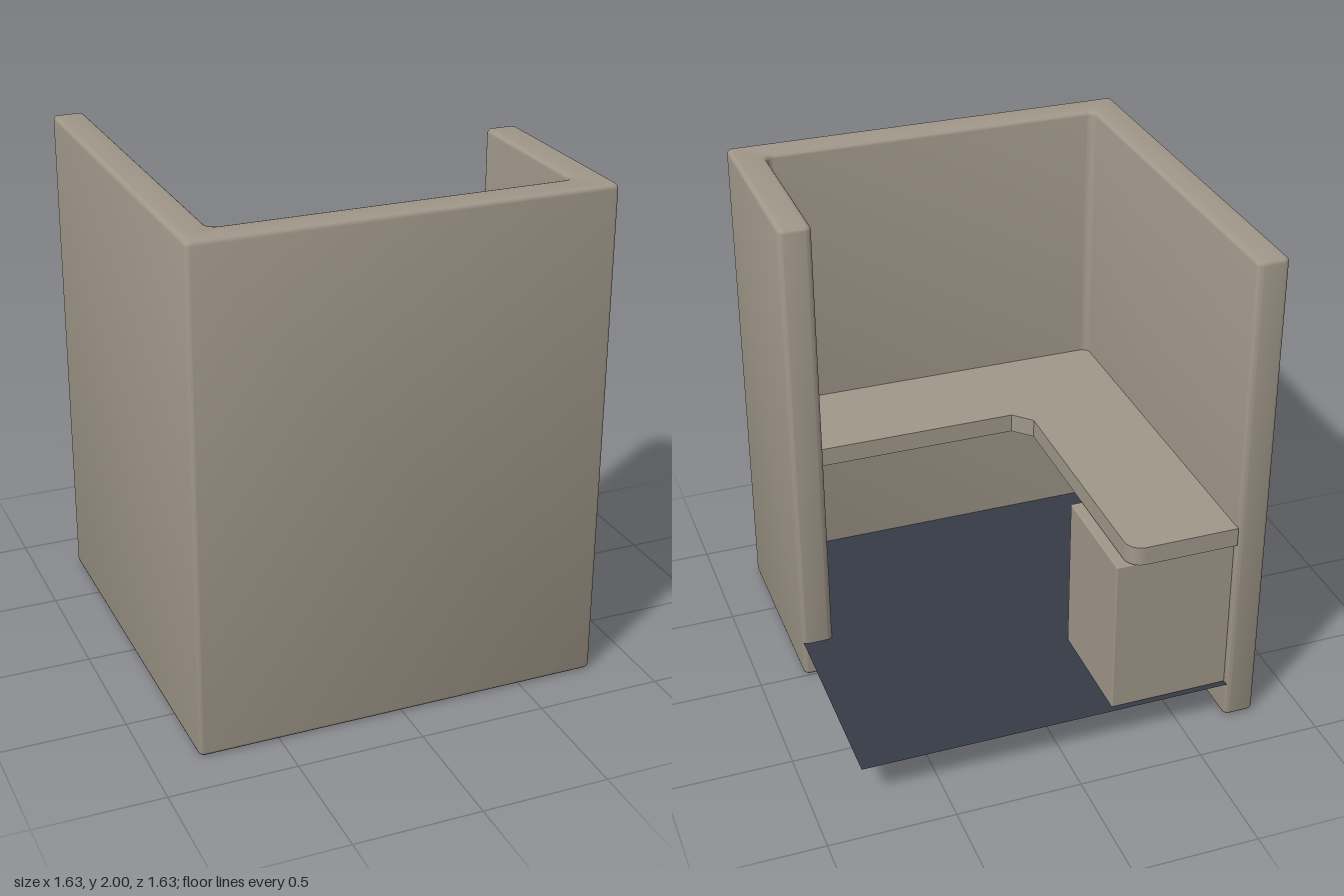
import * as THREE from 'three';
import { toCreasedNormals } from 'three/addons/utils/BufferGeometryUtils.js';
import { RoundedBoxGeometry } from 'three/addons/geometries/RoundedBoxGeometry.js';

// Plan outline from [x, z, cornerRadius] points, each corner rounded by an arc
function plan(corners) {
  const shape = new THREE.Shape();
  const n = corners.length;
  corners.forEach(([x, z, r = 0], i) => {
    const p = new THREE.Vector2(x, z);
    const toward = (c) => new THREE.Vector2(c[0], c[1]).sub(p).normalize().multiplyScalar(r).add(p);
    const a = toward(corners[(i + n - 1) % n]);
    const b = toward(corners[(i + 1) % n]);
    if (i === 0) shape.moveTo(a.x, a.y);
    else shape.lineTo(a.x, a.y);
    if (r > 0) {
      // centre of a right-angled fillet
      const c = a.clone().add(b).sub(p);
      const a0 = Math.atan2(a.y - c.y, a.x - c.x);
      const a1 = Math.atan2(b.y - c.y, b.x - c.x);
      const turn = Math.atan2(Math.sin(a1 - a0), Math.cos(a1 - a0));
      shape.absarc(c.x, c.y, r, a0, a1, turn < 0);
    }
  });
  shape.closePath();
  return shape;
}

// Raise a plan from y0 to y1, easing its rims by an inward bevel
function raise(shape, y0, y1, bevel) {
  const geo = new THREE.ExtrudeGeometry(shape, {
    depth: y1 - y0 - 2 * bevel,
    bevelEnabled: bevel > 0,
    bevelSize: bevel,
    bevelThickness: bevel,
    bevelOffset: -bevel,
    bevelSegments: 3,
    curveSegments: 5,
  });
  geo.rotateX(Math.PI / 2);
  geo.translate(0, y1 - bevel, 0);
  return toCreasedNormals(geo, 0.7);
}

export function createModel() {
  const model = new THREE.Group();
  model.name = 'officeCubicle';

  const taupe = new THREE.MeshStandardMaterial({ color: 0xa09789 });
  taupe.name = 'taupe panel';
  const slate = new THREE.MeshStandardMaterial({ color: 0x353b47, side: THREE.DoubleSide });
  slate.name = 'slate carpet';

  const add = (name, geometry, material) => {
    const mesh = new THREE.Mesh(geometry, material);
    mesh.name = name;
    model.add(mesh);
    return mesh;
  };

  // Partition walls: one long side, the front, and one short side
  const W = 0.815, I = 0.688;
  add('partitionWalls', raise(plan([
    [-W, -W, 0.025], [-I, -W, 0.025], [-I, I, 0.035], [I, I, 0.035],
    [I, 0, 0.025], [W, 0, 0.025], [W, W, 0.025], [-W, W, 0.025],
  ]), 0, 2, 0.018), taupe);

  // L-shaped worktop with a chamfered inner corner and a rounded free end
  add('desktop', raise(plan([
    [-0.69, -W], [-0.25, -W, 0.065], [-0.25, 0.19], [-0.18, 0.262],
    [0.69, 0.262], [0.69, 0.69], [-0.69, 0.69],
  ]), 0.82, 0.897, 0), taupe);

  // Drawer pedestal under the free end of the worktop
  const pedestal = add('pedestal', new RoundedBoxGeometry(0.482, 0.657, 0.465, 2, 0.005), taupe);
  pedestal.position.set(-0.449, 0.4855, -0.56);

  // Carpet, a single sheet
  const carpet = add('carpet', new THREE.PlaneGeometry(1.5, 1.51).rotateX(-Math.PI / 2), slate);
  carpet.position.set(0.06, 0.159, -0.062);

  return model;
}
